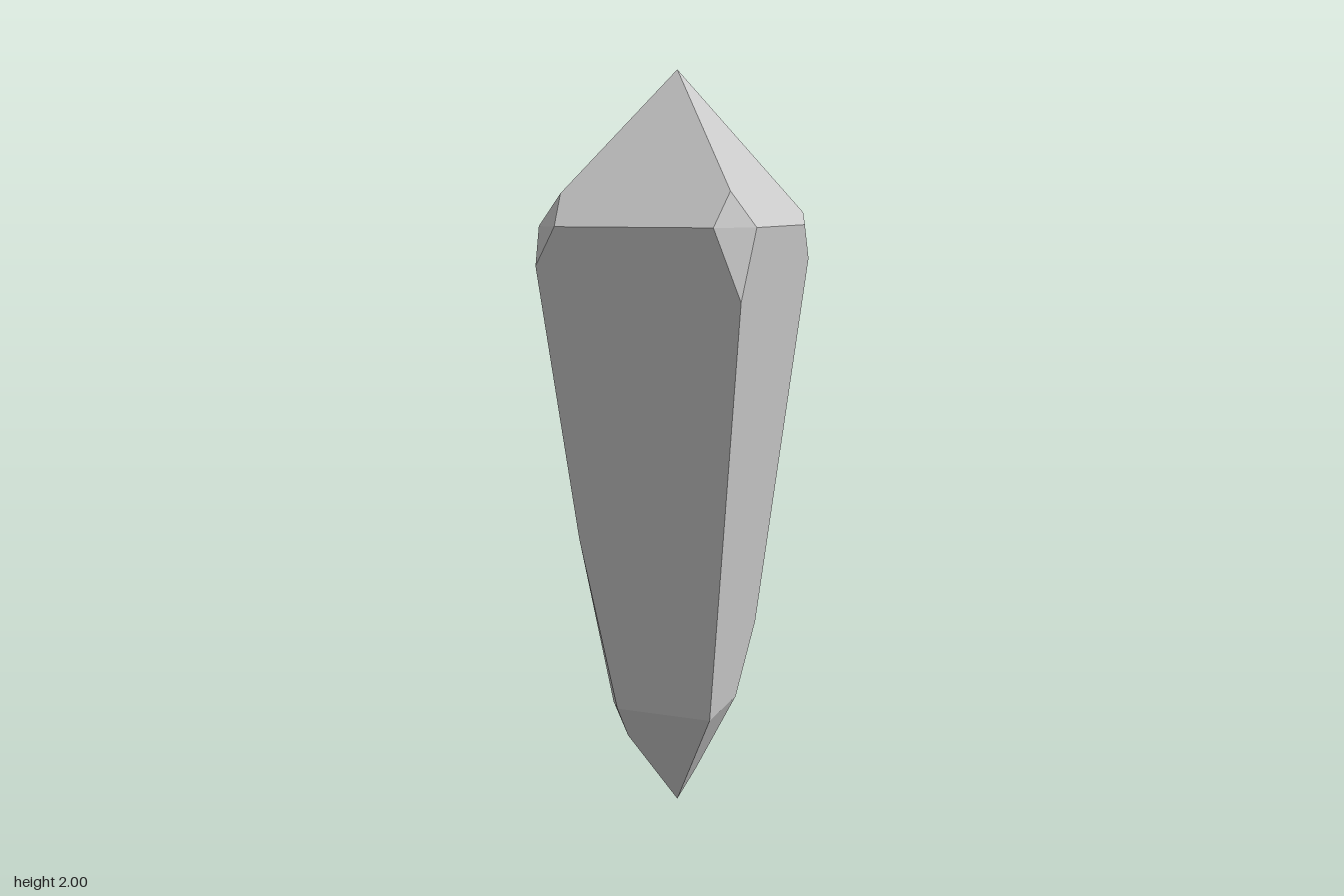
import * as THREE from 'three';

// Half widths of the tapered shaft and the heights of its two shoulders
const TOP = 0.29, TOP_Y = 1.6, LOW = 0.15, LOW_Y = 0.3;
const apex = [0, 2, 0], tip = [0, 0, 0];

// Half width of the crystal along its corner edges at height y
function halfWidth(y) {
  if (y > TOP_Y) return TOP * (2 - y) / (2 - TOP_Y);
  if (y < LOW_Y) return LOW * y / LOW_Y;
  return LOW + (TOP - LOW) * (y - LOW_Y) / (TOP_Y - LOW_Y);
}

// A chipped shoulder corner: cuts on the two shoulder edges, and on the edges above and below
function chip(sx, sz, w, y, { cutX, cutZ, above, below }) {
  const onEdge = (h) => [sx * halfWidth(h), h, sz * halfWidth(h)];
  return {
    x: [sx * w, y, sz * cutZ], // on the side facing x
    z: [sx * cutX, y, sz * w], // on the side facing z
    above: onEdge(above),
    below: onEdge(below),
  };
}

// Corners in order around the crystal; low is present where the bottom is chipped too
const corners = [
  { sx: 1, sz: 1, top: { cutX: 0.205, cutZ: 0.212, above: 1.688, below: 1.42 } },
  {
    sx: 1, sz: -1, top: { cutX: 0.237, cutZ: 0.205, above: 1.632, below: 1.507 },
    low: { cutX: -0.012, cutZ: 0.064, above: 0.49, below: 0.08 },
  },
  { sx: -1, sz: -1, top: { cutX: 0.178, cutZ: 0.22, above: 1.719, below: 1.32 } },
  {
    sx: -1, sz: 1, top: { cutX: 0.22, cutZ: 0.235, above: 1.683, below: 1.5 },
    low: { cutX: 0.117, cutZ: 0.1, above: 0.78, below: 0.21 },
  },
].map(({ sx, sz, top, low }) => ({
  top: chip(sx, sz, TOP, TOP_Y, top),
  low: low && chip(sx, sz, LOW, LOW_Y, low),
  plain: [sx * LOW, LOW_Y, sz * LOW],
}));

// Flat polygons fanned into triangles that all face away from the middle
function facets(polygons) {
  const positions = [];
  const middle = new THREE.Vector3(0, 1, 0);
  for (const polygon of polygons) {
    const p = polygon.map((q) => new THREE.Vector3(...q));
    for (let i = 1; i < p.length - 1; i++) {
      const t = new THREE.Triangle(p[0], p[i], p[i + 1]);
      const normal = t.getNormal(new THREE.Vector3());
      const out = t.getMidpoint(new THREE.Vector3()).sub(middle);
      const order = normal.dot(out) >= 0 ? [t.a, t.b, t.c] : [t.a, t.c, t.b];
      order.forEach((v) => positions.push(v.x, v.y, v.z));
    }
  }
  const geometry = new THREE.BufferGeometry();
  geometry.setAttribute('position', new THREE.Float32BufferAttribute(positions, 3));
  geometry.computeVertexNormals();
  return geometry;
}

export function createModel() {
  const group = new THREE.Group();
  group.name = 'crystal';
  const add = (name, polygons, side = THREE.FrontSide) => {
    const material = new THREE.MeshStandardMaterial({ color: 0xcccccc, flatShading: true, side });
    const mesh = new THREE.Mesh(facets(polygons), material);
    mesh.name = name;
    group.add(mesh);
  };

  const crown = [], shaft = [], point = [], chips = [];
  corners.forEach((a, i) => {
    const b = corners[(i + 1) % 4];
    const k = i % 2 === 0 ? 'x' : 'z'; // axis that the side between a and b faces
    const foot = (c) => (c.low ? [c.low.above, c.low[k]] : [c.plain]);
    const root = (c) => (c.low ? [c.low[k], c.low.below] : [c.plain]);

    crown.push([apex, a.top.above, a.top[k], b.top[k], b.top.above]);
    shaft.push([a.top[k], a.top.below, ...foot(a), ...foot(b).reverse(), b.top.below, b.top[k]]);
    point.push([tip, ...root(a).reverse(), ...root(b)]);

    // Each chip folds along the line between its two shoulder cuts
    for (const c of [a.top, a.low]) {
      if (c) chips.push([c.x, c.z, c.above], [c.x, c.z, c.below]);
    }
  });
  add('crown', crown);
  add('shaft', shaft);
  add('lowerPoint', point);
  add('chippedCorners', chips);

  // Slim raised facet on the crown's -x side
  const p = [-0.29, 1.6, 0.005], q = [-0.11, 1.848, -0.11];
  const base = [-0.18, 1.752, 0.005], raised = [-0.188, 1.758, 0.005];
  add('crownFacet', [[p, q, raised], [p, base, raised], [base, q, raised]], THREE.DoubleSide);

  return group;
}
